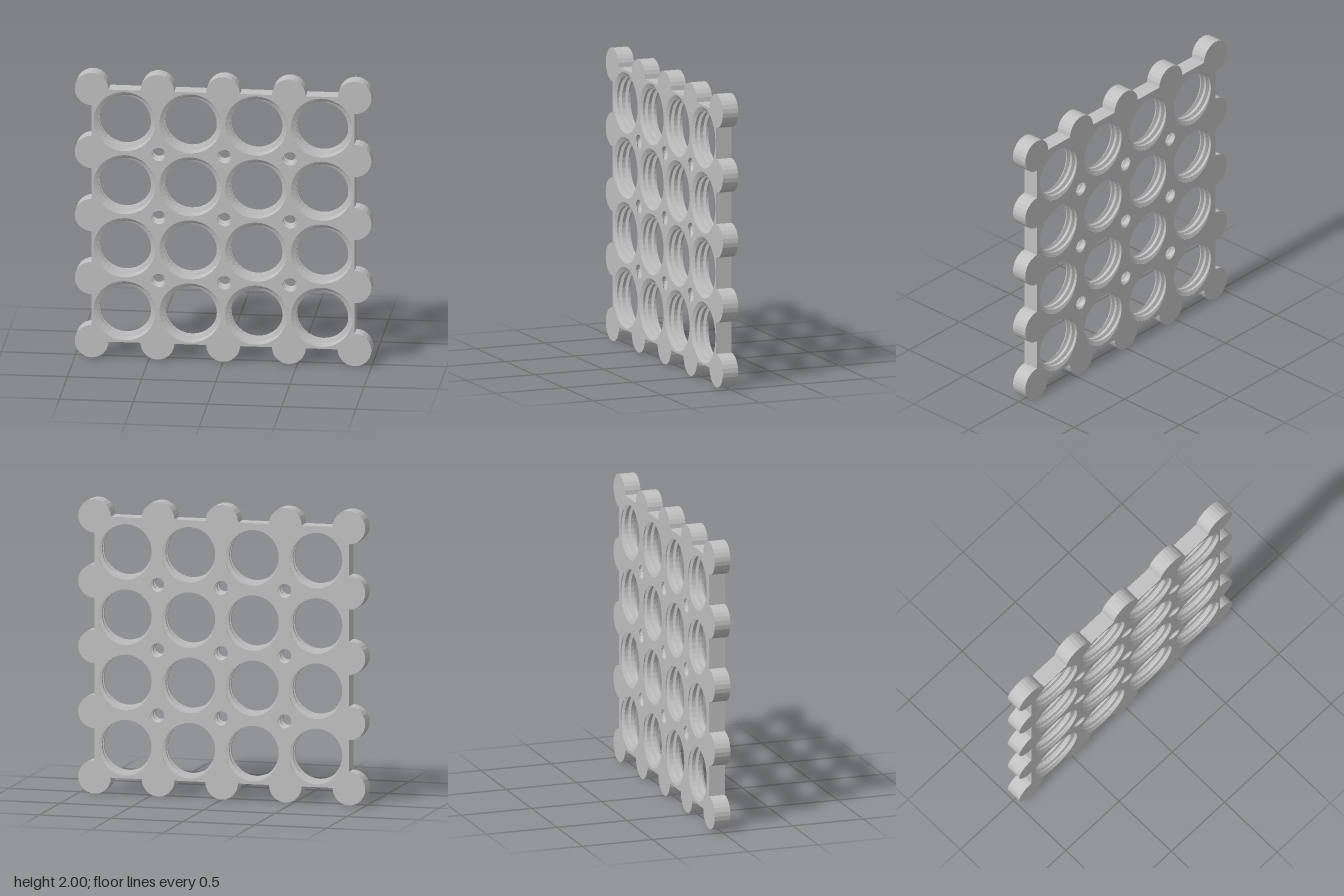
import * as THREE from 'three';

const H = 0.056;          // half thickness
const EDGE = 0.886;       // half width of the square panel
const PITCH = EDGE / 2;   // spacing of the grid
const LOBE = 0.114;       // radius of the round lobes on the rim
const TAU = Math.PI * 2;

const BIG = { crest: 0.176, root: 0.203, lead: 0.045, phase: 0.01, segs: 32, top: H - 0.014, mouth: 0.208 };
const SMALL = { crest: 0.042, root: 0.056, lead: 0.053, phase: 0.02, segs: 16, top: H };

// Thread profile over one lead: [fraction, 0 = crest / 1 = root]
const PROFILE = [[0, 0], [0.4, 0], [0.6, 1], [0.8, 1], [1, 0]];

// Radius of a threaded hole at height z and angle a
function threadRadius(t, z, a) {
  let u = (z - t.phase) / t.lead - a / TAU;
  u -= Math.floor(u);
  let k = 0;
  while (k < 3 && u > PROFILE[k + 1][0]) k++;
  const [u0, r0] = PROFILE[k], [u1, r1] = PROFILE[k + 1];
  const depth = r0 + (r1 - r0) * (u - u0) / (u1 - u0);
  return t.crest + (t.root - t.crest) * depth;
}

const polar = (r, a, z) => new THREE.Vector3(r * Math.cos(a), r * Math.sin(a), z);

// Faceted surface through rows of points
function loft(rows) {
  const pos = [];
  const tri = new THREE.Triangle();
  const add = (a, b, c) => {
    if (tri.set(a, b, c).getArea() > 1e-9) for (const p of [a, b, c]) pos.push(p.x, p.y, p.z);
  };
  for (let j = 0; j < rows.length - 1; j++) {
    for (let i = 0; i < rows[j].length - 1; i++) {
      const a = rows[j][i], b = rows[j][i + 1], c = rows[j + 1][i + 1], d = rows[j + 1][i];
      add(a, b, c);
      add(a, c, d);
    }
  }
  const g = new THREE.BufferGeometry();
  g.setAttribute('position', new THREE.Float32BufferAttribute(pos, 3));
  g.computeVertexNormals();
  return g;
}

// Helical wall of a hole, from the front to the back
function threadWall(t) {
  const rows = [];
  const row = fn => rows.push(Array.from({ length: t.segs + 1 }, (_, i) => fn(i / t.segs * TAU)));
  if (t.mouth) row(a => polar(t.mouth, a, H));
  for (let n = 4; n >= -5; n--) {
    for (let k = 3; k >= 0; k--) {
      row(a => {
        const raw = t.phase + t.lead * (n + PROFILE[k][0] + a / TAU);
        const z = THREE.MathUtils.clamp(raw, -H, t.top);
        const r = z === raw ? t.crest + (t.root - t.crest) * PROFILE[k][1] : threadRadius(t, z, a);
        return polar(r, a, z);
      });
    }
  }
  return loft(rows);
}

// Rim of the panel: square with a lobe at every grid node
function rimPoints() {
  const pts = [];
  for (let side = 0; side < 4; side++) {
    for (let i = 0; i < 4; i++) {
      const start = i === 0 ? Math.PI / 2 : Math.PI;
      const steps = i === 0 ? 18 : 12;
      for (let s = 0; s <= steps; s++) {
        const a = start + (TAU - start) * s / steps;
        const p = new THREE.Vector2(-EDGE + i * PITCH + LOBE * Math.cos(a), -EDGE + LOBE * Math.sin(a));
        pts.push(p.rotateAround(new THREE.Vector2(), side * Math.PI / 2));
      }
    }
  }
  return pts;
}

// Flat front or back face with the hole mouths cut out
function panelFace(rim, holes, z) {
  const shape = new THREE.Shape(rim);
  for (const { x, y, t } of holes) {
    const pts = [];
    for (let i = 0; i < t.segs; i++) {
      const a = i / t.segs * TAU;
      const r = z > 0 && t.mouth ? t.mouth : threadRadius(t, z, a);
      pts.push(new THREE.Vector2(x + r * Math.cos(a), y + r * Math.sin(a)));
    }
    shape.holes.push(new THREE.Path(pts));
  }
  const g = new THREE.ShapeGeometry(shape);
  if (z < 0) {
    g.index.array.reverse();
    g.computeVertexNormals();
  }
  return g.translate(0, 0, z);
}

export function createModel() {
  const model = new THREE.Group();
  model.name = 'threadedGridPanel';
  const grey = new THREE.MeshStandardMaterial({ color: 0xc0c0c0 });
  grey.name = 'plainGrey';

  const add = (name, geometry, x = 0, y = 0) => {
    const mesh = new THREE.Mesh(geometry, grey);
    mesh.name = name;
    mesh.position.set(x, y + 1, 0);
    model.add(mesh);
  };

  // Hole layout: 4 x 4 large, 3 x 3 small between them
  const holes = [];
  const grid = (count, t, name) => {
    for (let i = 0; i < count; i++) {
      for (let j = 0; j < count; j++) {
        const mid = (count - 1) / 2;
        holes.push({ x: (i - mid) * PITCH, y: (j - mid) * PITCH, t, name });
      }
    }
  };
  grid(4, BIG, 'largeThreadedHole');
  grid(3, SMALL, 'smallThreadedHole');

  // Panel body
  const rim = rimPoints();
  add('frontFace', panelFace(rim, holes, H));
  add('backFace', panelFace(rim, holes, -H));
  const loop = [...rim, rim[0]];
  add('rim', loft([-H, H].map(z => loop.map(p => new THREE.Vector3(p.x, p.y, z)))));

  // Threaded walls
  const walls = new Map([[BIG, threadWall(BIG)], [SMALL, threadWall(SMALL)]]);
  for (const { x, y, t, name } of holes) add(name, walls.get(t), x, y);

  return model;
}
